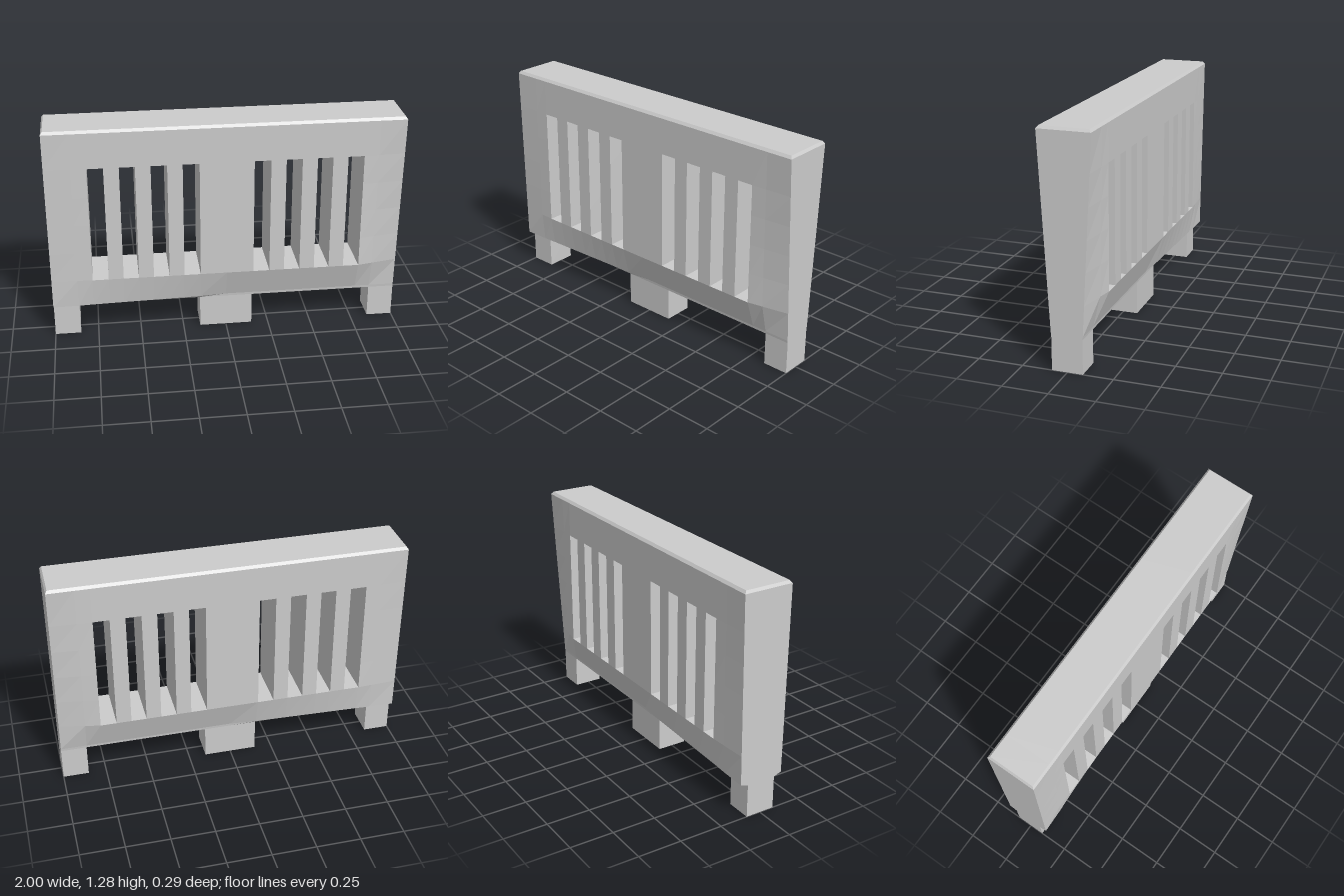
import * as THREE from 'three';

const TOP = 1.28, RIM = 1.265, SLOT_TOP = 1.06, SLOT_BOTTOM = 0.375, LIP = 0.205, BASE = 0.19;
const FULL = 0.144, FOOT = 0.085;
const SLOTS = [[0.152, 0.245], [0.33, 0.42], [0.505, 0.592], [0.677, 0.768]];
const FOOT_IN = 0.853, MID_FOOT = 0.152, SLOT_END = 0.768;

const lerp = THREE.MathUtils.lerp;
const ramp = (v, a, b) => THREE.MathUtils.clamp((v - a) / (b - a), 0, 1);

// Half thickness of the wall along its lower edge
const lowerEdge = (x) => (x < -MID_FOOT ? lerp(0.1, 0.13, ramp(-x, MID_FOOT, 1)) : lerp(0.1, 0.087, ramp(x, -MID_FOOT, 0)));

// Half thickness anywhere: full at the slots, drawn in toward the base and ends
function halfThickness(x, y) {
  if (y <= BASE) return FOOT;
  if (y >= TOP) return FULL - 0.012;
  const inner = lerp(lowerEdge(x), FULL, ramp(y, LIP, SLOT_BOTTOM));
  const end = lerp(lowerEdge(Math.sign(x)), FULL, ramp(y, LIP, RIM));
  return lerp(inner, end, ramp(Math.abs(x), SLOT_END, 1));
}

// Grid lines, mirrored about x = 0
const half = [...SLOTS.flat(), FOOT_IN, 1];
const xs = [...half.map((x) => -x).reverse(), 0, ...half];
const ys = [0, BASE, LIP, SLOT_BOTTOM, 0.55, 0.72, 0.89, SLOT_TOP, RIM, TOP];

// True where a grid cell is solid
function solid(i, j) {
  if (i < 0 || j < 0 || i >= xs.length - 1 || j >= ys.length - 1) return false;
  const x = Math.abs((xs[i] + xs[i + 1]) / 2), y = (ys[j] + ys[j + 1]) / 2;
  if (y < BASE) return x < MID_FOOT || x > FOOT_IN;
  if (y > SLOT_BOTTOM && y < SLOT_TOP) return !SLOTS.some(([a, b]) => x > a && x < b);
  return true;
}

// Corner of the grid on the front (s = 1) or back (s = -1)
function corner(i, j, s) {
  const x = xs[i], y = ys[j];
  const inset = y === TOP && Math.abs(x) === 1 ? 0.99 : 1;
  return [x * inset, y, s * halfThickness(x, y)];
}

function wallGeometry() {
  const pos = [];
  const quad = (a, b, c, d) => pos.push(...a, ...b, ...c, ...a, ...c, ...d);
  for (let i = 0; i < xs.length - 1; i++) {
    for (let j = 0; j < ys.length - 1; j++) {
      if (!solid(i, j)) continue;
      const f = [corner(i, j, 1), corner(i + 1, j, 1), corner(i + 1, j + 1, 1), corner(i, j + 1, 1)];
      const b = [corner(i, j, -1), corner(i + 1, j, -1), corner(i + 1, j + 1, -1), corner(i, j + 1, -1)];
      quad(...f);
      quad(b[1], b[0], b[3], b[2]);
      // Close the cell wherever its neighbour is open
      const open = [!solid(i, j - 1), !solid(i + 1, j), !solid(i, j + 1), !solid(i - 1, j)];
      open.forEach((o, k) => {
        const n = (k + 1) % 4;
        if (o) quad(f[k], b[k], b[n], f[n]);
      });
    }
  }
  const geometry = new THREE.BufferGeometry();
  geometry.setAttribute('position', new THREE.Float32BufferAttribute(pos, 3));
  geometry.computeVertexNormals();
  return geometry;
}

export function createModel() {
  const group = new THREE.Group();
  group.name = 'slottedBarrier';
  const wall = new THREE.Mesh(
    wallGeometry(),
    new THREE.MeshStandardMaterial({ color: 0xcccccc, flatShading: true })
  );
  wall.name = 'slottedWallWithFeet';
  group.add(wall);
  return group;
}
